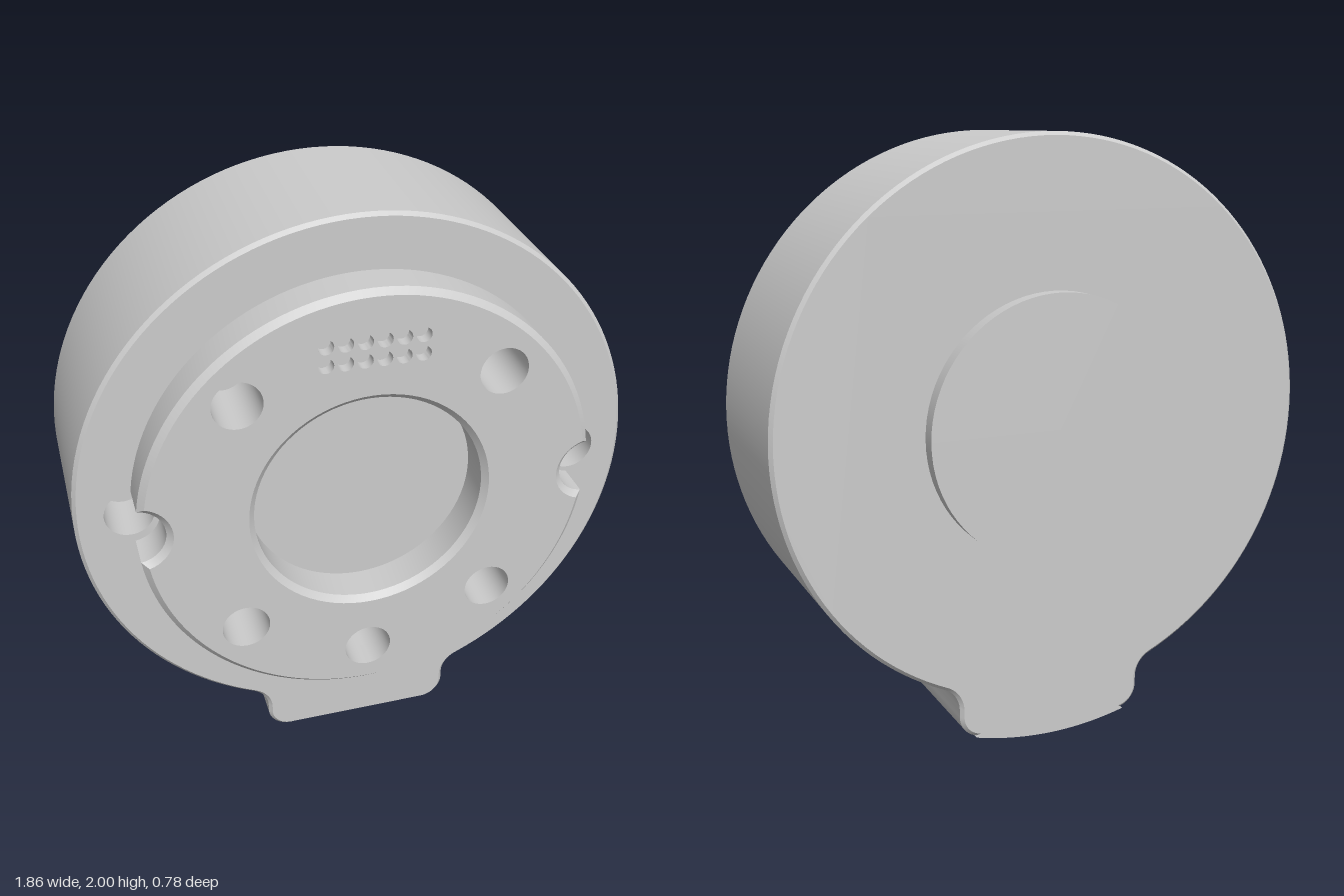
import * as THREE from 'three';
import { toCreasedNormals } from 'three/addons/utils/BufferGeometryUtils.js';

const CY = 1.07;                     // height of the main axis
const FRONT = 0.25, BACK = -0.34;    // housing faces
const RIM = 0.39;                    // front of the raised disc
const EDGE = 0.012, BEVEL = 0.02;
const BOTTOM = 0.035;                // underside of the foot

const material = new THREE.MeshStandardMaterial({ color: 0xcccccc });

// points along an arc, both ends included
function arc(cx, cy, r, from, to, n) {
  return Array.from({ length: n + 1 }, (_, i) => {
    const a = from + (to - from) * i / n;
    return new THREE.Vector2(cx + r * Math.cos(a), cy + r * Math.sin(a));
  });
}
const tidy = (pts) => pts.filter((p, i) => p.distanceTo(pts[(i + 1) % pts.length]) > 1e-6);
const circle = (x, y, r, n = 40) => tidy(arc(x, y, r, 0, Math.PI * 2, n));

// round housing blending into a foot, shrunk by d
function housingOutline(d) {
  const R = 0.93, side = 0.33, f = 0.09, c = 0.08;
  const fx = side + f, drop = Math.sqrt((R + f) ** 2 - fx ** 2), fy = CY - drop;
  const t = Math.atan2(-drop, fx), P = Math.PI;
  return tidy([
    ...arc(0, CY, R - d, t, P - t, 120),
    ...arc(-fx, fy, f + d, -t, 0, 12),
    ...arc(c - side, BOTTOM + c, c - d, P, P * 1.5, 12),
    ...arc(side - c, BOTTOM + c, c - d, P * 1.5, P * 2, 12),
    ...arc(fx, fy, f + d, P, P + t, 12),
  ]);
}

// disc with a round notch on each side, shrunk by d
function discOutline(d) {
  const R = 0.75 - d, n = 0.097 + d, c = 0.755, P = Math.PI;
  const a = Math.acos((R * R + c * c - n * n) / (2 * R * c));
  const phi = Math.atan2(R * Math.sin(a), c - R * Math.cos(a));
  return tidy([
    ...arc(0, CY, R, a, P - a, 60),
    ...arc(-c, CY, n, phi, -phi, 20),
    ...arc(0, CY, R, P + a, 2 * P - a, 60),
    ...arc(c, CY, n, P + phi, P - phi, 20),
  ]);
}

// wall joining outlines stacked from front to back: [[points, z], ...]
function wall(rings, skip = () => false) {
  const pos = [];
  for (let k = 0; k + 1 < rings.length; k++) {
    const [A, za] = rings[k], [B, zb] = rings[k + 1];
    A.forEach((a, i) => {
      const j = (i + 1) % A.length, a1 = A[j], b = B[i], b1 = B[j];
      if (skip(a, a1, b, b1)) return;
      pos.push(a.x, a.y, za, b.x, b.y, zb, a1.x, a1.y, za);
      pos.push(a1.x, a1.y, za, b.x, b.y, zb, b1.x, b1.y, zb);
    });
  }
  const g = new THREE.BufferGeometry();
  g.setAttribute('position', new THREE.Float32BufferAttribute(pos, 3));
  return toCreasedNormals(g, 0.5);
}

// flat face with holes, facing +z
function face(points, z, holes = []) {
  const shape = new THREE.Shape(points);
  holes.forEach((h) => shape.holes.push(new THREE.Path(h)));
  return new THREE.ShapeGeometry(shape).translate(0, 0, z);
}

export function createModel() {
  const model = new THREE.Group();
  const add = (parent, name, geometry) => {
    const mesh = new THREE.Mesh(geometry, material);
    mesh.name = name;
    parent.add(mesh);
    return mesh;
  };
  const part = (name) => {
    const g = new THREE.Group();
    g.name = name;
    model.add(g);
    return g;
  };

  // blind hole; reversed outline makes the wall face inward
  const drill = (parent, name, x, y, r, top, bottom, n) => {
    const pts = circle(x, y, r, n), inner = [...pts].reverse();
    add(parent, name + 'Wall', wall([[inner, top], [inner, bottom]]));
    add(parent, name + 'Floor', face(pts, bottom));
  };

  const screws = [[-0.42, 1.5], [0.425, 1.49], [-0.425, 0.655], [0.42, 0.645], [-0.005, 0.475]];
  const sideHoles = [[-0.755, 1.08], [0.75, 1.07]];
  const HOLE = 0.08;
  const holeRing = ([x, y]) => circle(x, y, HOLE);

  // housing with chamfered edges; its underside is added separately
  const housing = part('housing');
  const full = housingOutline(0), small = housingOutline(EDGE);
  add(housing, 'housingWall', wall(
    [[small, FRONT], [full, FRONT - EDGE], [full, BACK + EDGE], [small, BACK]],
    (...q) => q.every((p) => p.y < BOTTOM + 1e-4)));
  add(housing, 'housingFront', face(small, FRONT, [...screws, ...sideHoles].map(holeRing)));
  add(housing, 'housingBack', face(small.map((p) => new THREE.Vector2(-p.x, p.y)), -BACK).rotateY(Math.PI));
  sideHoles.forEach(([x, y]) => drill(housing, 'sideHole', x, y, HOLE, FRONT, 0.06));

  // underside of the foot with a round pocket
  const foot = part('footUnderside');
  const pz = -0.05, pr = 0.19, depth = 0.09;
  const z0 = BACK + EDGE, z1 = FRONT - EDGE;
  const rect = [[-0.25, z0], [0.25, z0], [0.25, z1], [-0.25, z1]].map(([x, z]) => new THREE.Vector2(x, z));
  add(foot, 'footPlate', face(rect, -BOTTOM, [circle(0, pz, pr)]).rotateX(Math.PI / 2));
  const pocket = part('footPocket');
  drill(pocket, 'pocket', 0, pz, pr, 0, -depth);
  pocket.rotation.x = Math.PI / 2;
  pocket.position.y = BOTTOM;

  // thin curved lip under the back of the foot
  const half = Math.acos((CY - BOTTOM - 0.001) / CY);
  const lipShape = new THREE.Shape([
    ...arc(0, CY, CY, -Math.PI / 2 - half, -Math.PI / 2 + half, 30),
    new THREE.Vector2(0.24, 0.06), new THREE.Vector2(-0.24, 0.06),
  ]);
  const lip = new THREE.ExtrudeGeometry(lipShape, { depth: 0.04, bevelEnabled: false });
  add(model, 'footLip', toCreasedNormals(lip.translate(0, 0, BACK), 0.5));

  // raised front disc with notches, bore and holes
  const disc = part('frontDisc');
  const discFull = discOutline(0), discSmall = discOutline(BEVEL);
  add(disc, 'discWall', wall([[discSmall, RIM], [discFull, RIM - BEVEL], [discFull, FRONT]]));

  const contacts = [];
  for (let i = 0; i < 6; i++) for (const y of [1.655, 1.592]) contacts.push([-0.148 + i * 0.061, y]);
  const CONTACT = 0.025;
  add(disc, 'discFace', face(discSmall, RIM, [
    circle(0, CY, 0.4, 80),
    ...screws.map(holeRing),
    ...contacts.map(([x, y]) => circle(x, y, CONTACT, 20)),
  ]));
  const bore = (r) => circle(0, CY, r, 80).reverse();
  add(disc, 'boreWall', wall([[bore(0.4), RIM], [bore(0.38), RIM - BEVEL], [bore(0.38), FRONT]]));
  screws.forEach(([x, y]) => drill(disc, 'screwHole', x, y, HOLE, RIM, 0.15));
  contacts.forEach(([x, y]) => drill(disc, 'contactHole', x, y, CONTACT, RIM, RIM - 0.04, 20));

  // low round boss on the back
  const boss = new THREE.CylinderGeometry(0.44, 0.44, 0.06, 80).rotateX(Math.PI / 2);
  add(model, 'backBoss', boss).position.set(0, CY, -0.36);

  return model;
}
